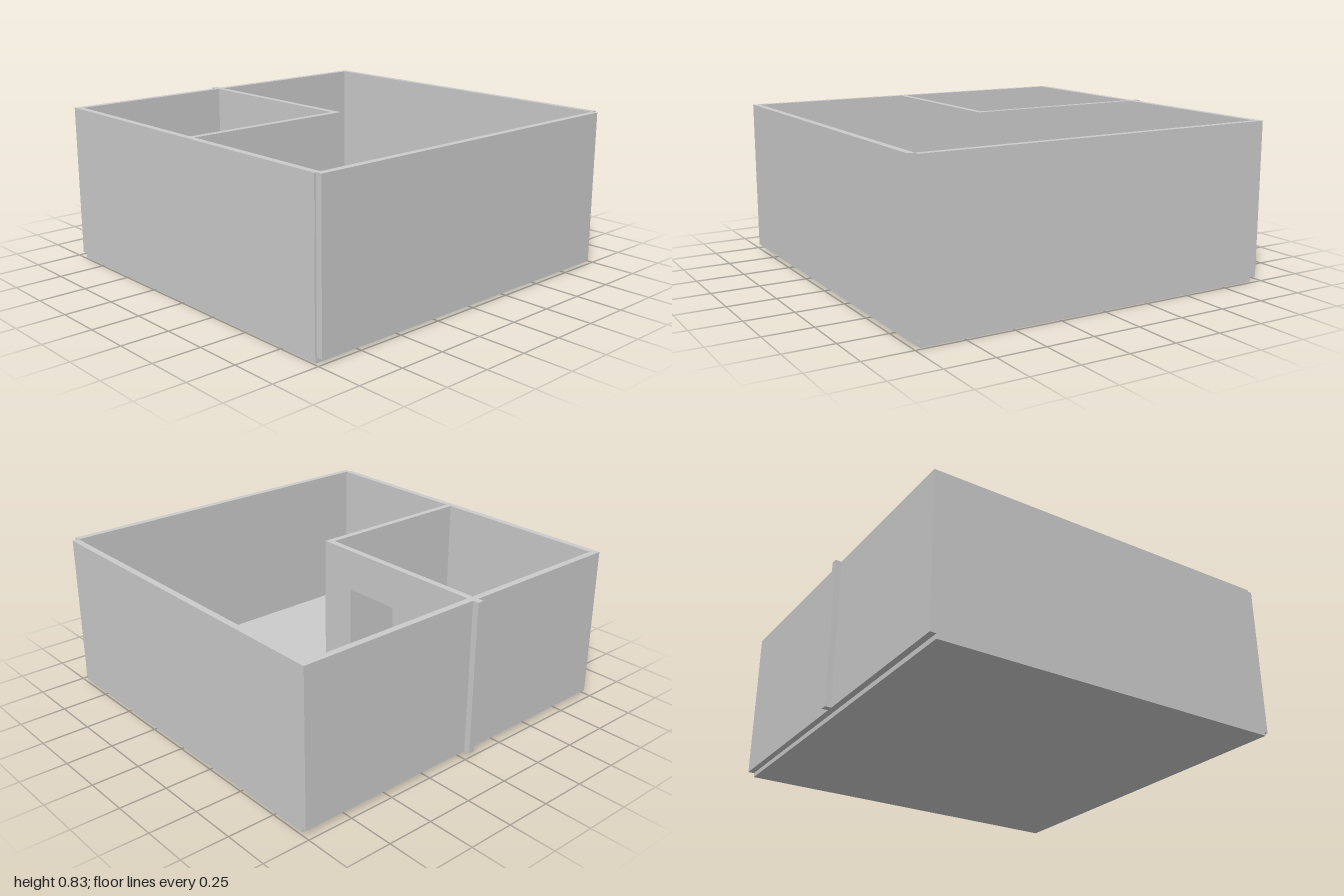
import * as THREE from 'three';

const FLOOR = 0.025; // floor thickness, walls stand on it
const TOP = 0.835;

export function createModel() {
  const model = new THREE.Group();
  model.name = 'walledRooms';
  const material = new THREE.MeshStandardMaterial({ color: 0xcccccc });

  function add(name, geometry) {
    const mesh = new THREE.Mesh(geometry, material);
    mesh.name = name;
    model.add(mesh);
    return mesh;
  }

  // Box given by its limits on each axis
  function slab(name, x0, x1, z0, z1, y0 = FLOOR, y1 = TOP) {
    const box = new THREE.BoxGeometry(x1 - x0, y1 - y0, z1 - z0);
    box.translate((x0 + x1) / 2, (y0 + y1) / 2, (z0 + z1) / 2);
    return add(name, box);
  }

  slab('floor', -0.935, 0.97, -0.985, 0.99, 0, FLOOR);

  // Outer walls
  slab('backWall', -0.967, 0.967, -0.99, -0.955);
  slab('frontWall', -0.967, 0.967, 0.955, 0.99);
  slab('rightSideWall', -0.967, -0.932, -0.955, 0.955);
  slab('leftSideWall', 0.965, 1, -0.955, 0.98);

  // Inner room: plain wall, and a wall with a doorway
  slab('innerWall', 0.052, 0.086, 0.061, 0.955);

  const outline = new THREE.Shape([
    [-0.932, FLOOR], [-0.437, FLOOR], [-0.437, 0.62], [-0.118, 0.62],
    [-0.118, FLOOR], [0.086, FLOOR], [0.086, TOP], [-0.932, TOP],
  ].map(([x, y]) => new THREE.Vector2(x, y)));
  const doorWall = new THREE.ExtrudeGeometry(outline, { depth: 0.035, bevelEnabled: false });
  doorWall.translate(0, 0, 0.026);
  add('doorwayWall', doorWall);

  // End of the doorway wall showing outside
  slab('wallEnd', -1, -0.967, 0.026, 0.061);

  return model;
}
